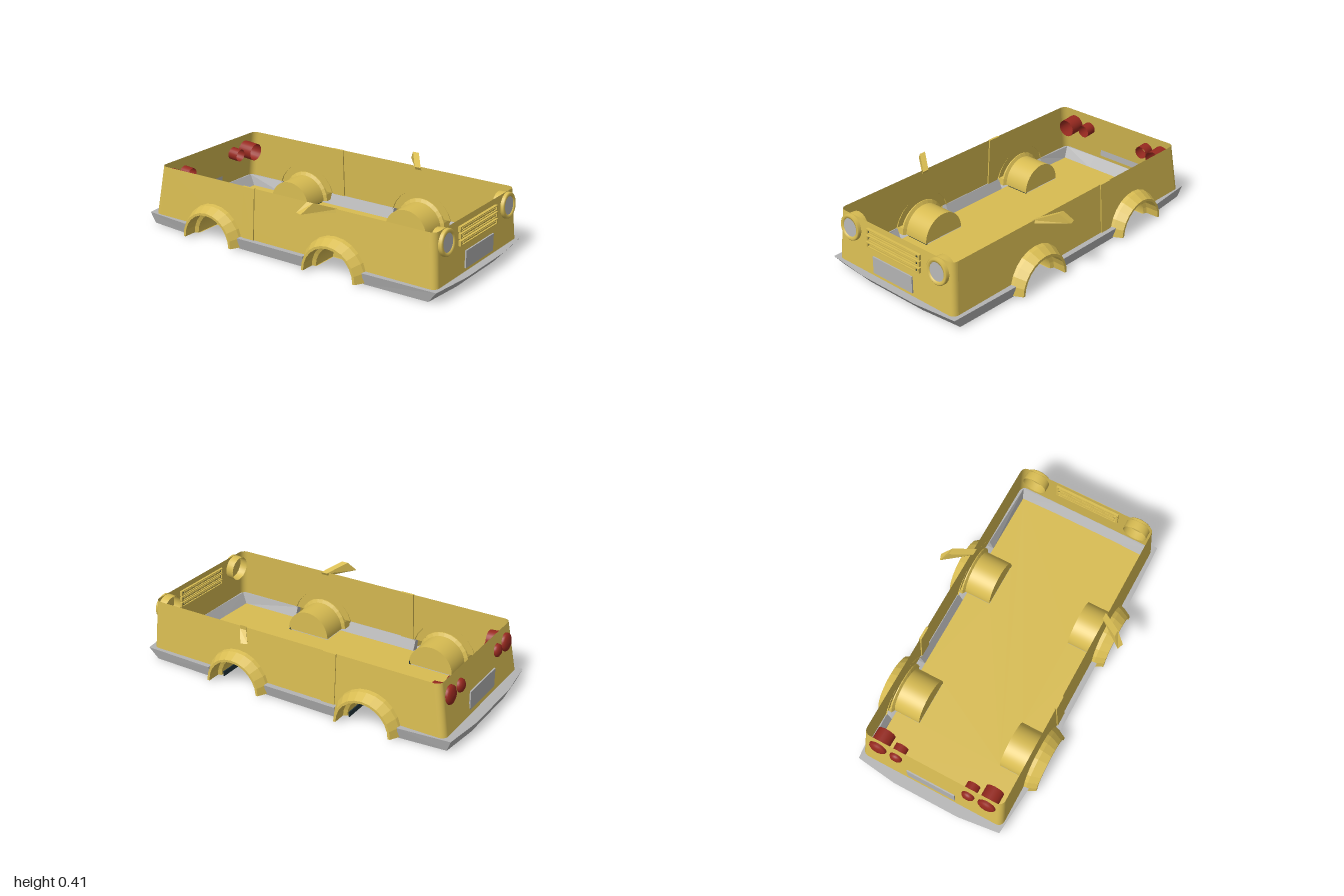
import * as THREE from 'three';

const mat = (name, color) => new THREE.MeshStandardMaterial({ name, color, side: THREE.DoubleSide });

export function createModel() {
  const paint = mat('yellow paint', 0xd8bc52);
  const grey = mat('grey trim', 0xb4b4b4);
  const red = mat('red lamp', 0x97291f);
  const dark = mat('dark slot', 0x22343a);

  const car = new THREE.Group();
  car.name = 'openCarBody';
  const WHEELS = [0.345, -0.485], AXLE = 0.012, OPENING = 0.158;
  const Y0 = 0.07, Y1 = 0.365;
  const at = (y) => (y - Y0) / (Y1 - Y0);
  const wallX = (y) => 0.44 - 0.018 * at(y);
  const frontZ = (y) => 0.955 - 0.022 * at(y);
  const rearZ = (y) => -0.935 + 0.05 * at(y);

  const add = (name, geo, material, x = 0, y = 0, z = 0) => {
    const m = new THREE.Mesh(geo, material);
    m.name = name;
    m.position.set(x, y, z);
    car.add(m);
    return m;
  };

  // Adds a part on the left and its mirror image on the right
  const pair = (name, geo, material, x = 0, y = 0, z = 0, rx = 0) => {
    for (const s of [1, -1]) {
      const m = add(name + (s > 0 ? 'Left' : 'Right'), geo, material, s * x, y, z);
      m.scale.x = s;
      m.rotation.x = rx;
    }
  };

  // Joins cross-sections; closed sections get flat end caps
  const loft = (rings, closed = true, smooth = false) => {
    const n = rings[0].length, index = [];
    rings.slice(1).forEach((_, i) => {
      for (let j = 0; j < (closed ? n : n - 1); j++) {
        const a = i * n + j, b = i * n + (j + 1) % n;
        index.push(a, b, b + n, a, b + n, a + n);
      }
    });
    if (closed) for (let j = 1; j < n - 1; j++) {
      const e = (rings.length - 1) * n;
      index.push(0, j + 1, j, e, e + j, e + j + 1);
    }
    let g = new THREE.BufferGeometry();
    g.setAttribute('position', new THREE.Float32BufferAttribute(rings.flat(2), 3));
    g.setIndex(index);
    if (!smooth) g = g.toNonIndexed();
    g.computeVertexNormals();
    return g;
  };

  // Half lathe lying along x, arching upwards
  const arch = (profile, segments) =>
    new THREE.LatheGeometry(profile.map((p) => new THREE.Vector2(...p)), segments, Math.PI, Math.PI)
      .rotateZ(-Math.PI / 2);

  // Side walls with wheel openings
  const R = 0.035;
  const side = new THREE.Shape();
  side.moveTo(frontZ(Y1) - R, Y1);
  side.lineTo(frontZ(Y0) - R, Y0);
  const a0 = Math.asin((Y0 - AXLE) / OPENING);
  for (const z of WHEELS) side.absarc(z, AXLE, OPENING, a0, Math.PI - a0, false);
  side.lineTo(rearZ(Y0) + R, Y0);
  side.lineTo(rearZ(Y1) + R, Y1);
  const sideGeo = new THREE.ShapeGeometry(side, 24);
  const sp = sideGeo.attributes.position;
  for (let i = 0; i < sp.count; i++) {
    const z = sp.getX(i), y = sp.getY(i);
    sp.setXYZ(i, wallX(y), y, z);
  }
  sideGeo.computeVertexNormals();
  pair('sideWall', sideGeo, paint);

  // Front and rear walls with rounded corners
  const endWall = (name, zAt, s) => {
    const ring = (y) => {
      const pts = [];
      for (const k of [1, -1]) for (let i = 0; i <= 6; i++) {
        const a = (k > 0 ? i : 6 - i) * Math.PI / 12;
        pts.push([k * (wallX(y) - R + R * Math.cos(a)), y, zAt(y) - s * R * (1 - Math.sin(a))]);
      }
      return pts;
    };
    add(name, loft([ring(Y0), ring(Y1)], false, true), paint);
  };
  endWall('frontWall', frontZ, 1);
  endWall('rearWall', rearZ, -1);

  // Door pillars
  const pillar = (y) => [[-0.008, -0.2], [0.006, -0.2], [0.006, -0.28], [-0.008, -0.28]]
    .map(([x, z]) => [wallX(y) + x, y, z]);
  pair('doorPillar', loft([pillar(Y0), pillar(Y1)]), paint);

  // Floor with notches for the wheels
  const floor = new THREE.Shape();
  const half = [[0.41, 0.92]];
  for (const z of WHEELS) half.push([0.41, z + 0.138], [0.26, z + 0.138], [0.26, z - 0.138], [0.41, z - 0.138]);
  half.push([0.41, -0.89]);
  floor.setFromPoints([...half, ...half.map(([x, z]) => [-x, z]).reverse()]
    .map(([x, z]) => new THREE.Vector2(x, -z)));
  add('floor', new THREE.ShapeGeometry(floor).rotateX(-Math.PI / 2), paint, 0, 0.008, 0);

  // Skirt and bumpers: outer top, outer bottom, inner bottom, inner top
  const section = (ot, ob, ib, it) =>
    [[ot[0], 0.07, ot[1]], [ob[0], 0.004, ob[1]], [ib[0], 0.004, ib[1]], [it[0], 0.07, it[1]]];
  const sill = (z) => section([0.472, z], [0.455, z], [0.41, z], [0.436, z]);
  const mirrored = (list) =>
    [...list, ...list.map((r) => r.map(([x, y, z]) => [-x, y, z])).reverse()];
  add('frontBumper', loft(mirrored([
    sill(0.535),
    section([0.462, 0.972], [0.448, 0.92], [0.41, 0.91], [0.425, 0.945]),
    section([0.2, 1], [0.2, 0.942], [0.2, 0.915], [0.2, 0.952]),
  ])), grey);
  add('rearBumper', loft(mirrored([
    sill(-0.675),
    section([0.445, -0.97], [0.432, -0.945], [0.41, -0.885], [0.425, -0.925]),
    section([0.2, -1], [0.2, -0.97], [0.2, -0.885], [0.2, -0.932]),
  ])), grey);
  pair('sill', loft([sill(0.155), sill(-0.295)]), grey);

  // Wheel arches and inner wells
  const flare = arch([[0.205, 0.432], [0.2, 0.455], [0.172, 0.508], [OPENING, 0.508], [OPENING, 0.43], [0.138, 0.42]], 12)
    .toNonIndexed();
  flare.computeVertexNormals();
  const well = arch([[0.138, 0.42], [0.138, 0.26]], 32);
  const wellEnd = new THREE.CircleGeometry(0.138, 32, 0, Math.PI).rotateY(Math.PI / 2);
  const liner = new THREE.BoxGeometry(0.15, 0.03, 0.006);
  WHEELS.forEach((z, i) => {
    const end = i ? 'rear' : 'front';
    pair(end + 'WheelArch', flare, paint, 0, AXLE, z);
    pair(end + 'WheelWell', well, paint, 0, AXLE, z);
    pair(end + 'WheelWellEnd', wellEnd, paint, 0.26, AXLE, z);
    pair(end + 'WellLiner', liner, dark, 0.335, 0.016, z + 0.132);
  });

  // Headlights: hollow bezel with a flat lens
  const tilt = -0.075;
  const bezel = new THREE.LatheGeometry(
    [[0.073, -0.05], [0.073, 0.014], [0.066, 0.02], [0.052, 0.016], [0.052, 0.008]]
      .map((p) => new THREE.Vector2(...p)), 32).rotateX(Math.PI / 2);
  pair('headlightBezel', bezel, paint, 0.327, 0.29, 0.94, tilt);
  pair('headlightLens', new THREE.CircleGeometry(0.052, 32), grey, 0.327, 0.29, 0.952, tilt);

  // Grille: dark slots with yellow slats
  for (const y of [0.317, 0.28, 0.242]) {
    const z = frontZ(y);
    add('grilleSlot', new THREE.BoxGeometry(0.39, 0.024, 0.014), dark, 0, y, z);
    add('grilleSlat', new THREE.BoxGeometry(0.35, 0.009, 0.03), paint, 0, y + 0.002, z);
    for (const e of [0.012, -0.012])
      add('grilleFrame', new THREE.BoxGeometry(0.4, 0.005, 0.03), paint, 0, y + e, z);
    pair('grilleEnd', new THREE.BoxGeometry(0.012, 0.028, 0.03), paint, 0.194, y, z);
  }

  // Number plates
  add('frontPlate', new THREE.BoxGeometry(0.296, 0.098, 0.008), grey, 0, 0.14, 0.958);
  add('rearPlate', new THREE.BoxGeometry(0.296, 0.11, 0.008), grey, 0, 0.15, -0.928);

  // Tail lamps: domed outside, open tubes inside
  for (const [name, x, r, depth] of [['outerTailLamp', 0.335, 0.053, 0.1], ['innerTailLamp', 0.222, 0.038, 0.07]]) {
    const lamp = new THREE.LatheGeometry(
      [[0, 0.021], [r * 0.6, 0.018], [r * 0.92, 0.009], [r, 0], [r, -depth]]
        .map((p) => new THREE.Vector2(...p)), 24).rotateX(-Math.PI / 2);
    pair(name, lamp, red, x, 0.272, -0.905, 0.08);
  }

  // Door mirrors
  pair('doorMirror', loft([
    [[0.41, 0.362, 0.345], [0.52, 0.41, 0.265], [0.575, 0.355, 0.225], [0.42, 0.345, 0.345]],
    [[0.41, 0.362, 0.305], [0.52, 0.41, 0.225], [0.562, 0.355, 0.188], [0.42, 0.345, 0.305]],
  ]), paint);

  return car;
}
